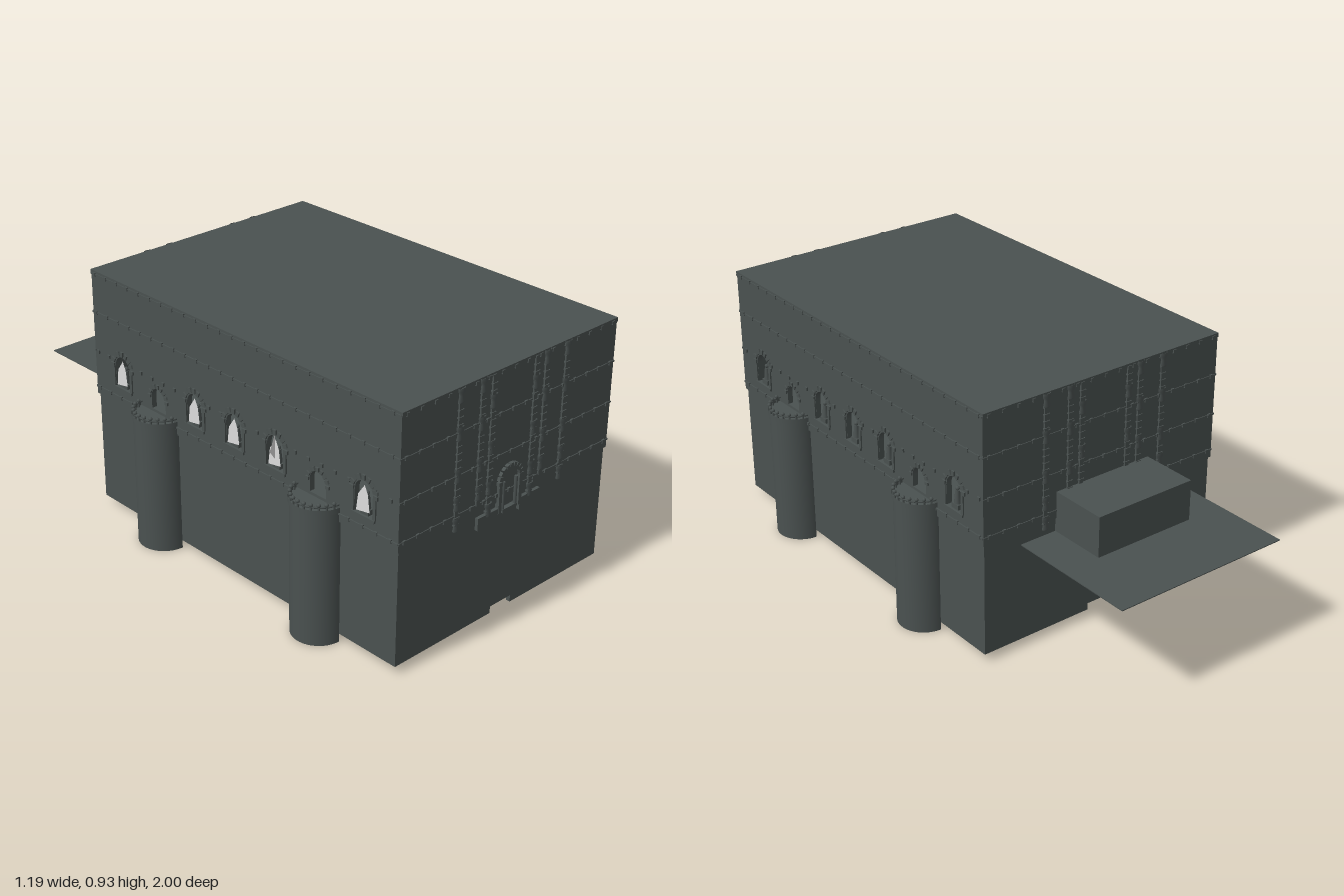
import * as THREE from 'three';

const stone = new THREE.MeshStandardMaterial({ color: 0x4a5150, side: THREE.DoubleSide });
stone.name = 'dark stone';
const pale = new THREE.MeshStandardMaterial({ color: 0xdcdcdc, side: THREE.DoubleSide });
pale.name = 'pale glass';

const FRONT = 0.988, BACK = -0.505, MID = (FRONT + BACK) / 2, LEN = FRONT - BACK;
const WINDOWS = [0.84, 0.44, 0.24, 0.04, -0.35];
const TURRETS = [0.637, -0.155];

function add(parent, name, geo, x = 0, y = 0, z = 0, mat = stone) {
  const m = new THREE.Mesh(geo, mat);
  m.name = name;
  m.position.set(x, y, z);
  parent.add(m);
  return m;
}
const box = (w, h, d) => new THREE.BoxGeometry(w, h, d);

function polygon(points) {
  return new THREE.Shape(points.map(([x, y]) => new THREE.Vector2(x, y)));
}

// Round-headed opening: c is the centre, r the half width
function archPath(c, bottom, spring, r) {
  const p = new THREE.Path();
  p.moveTo(c - r, bottom);
  p.lineTo(c + r, bottom);
  p.lineTo(c + r, spring);
  p.absarc(c, spring, r, 0, Math.PI, false);
  p.closePath();
  return p;
}

const slab = (shape, depth) => new THREE.ExtrudeGeometry(shape, { depth, bevelEnabled: false, curveSegments: 10 });

// Wedge stones set around an arch in the local xy plane
function archStones(parent, name, cx, spring, r, size, count, depth) {
  for (let i = 0; i < count; i++) {
    const a = Math.PI * i / (count - 1);
    const m = add(parent, name, box(size, size * 0.75, depth), cx + r * Math.cos(a), spring + r * Math.sin(a), 0);
    m.rotation.z = a;
  }
}

// Pilaster with small blocks and flared capitals, on the local z = 0 plane
function pilaster(parent, x, bottom, levels) {
  const flare = new THREE.LatheGeometry([[0.010, -0.025], [0.015, -0.02], [0.010, 0], [0.016, 0.014], [0.016, 0.025]]
    .map(([r, y]) => new THREE.Vector2(r, y)), 8);
  flare.scale(1, 1, 0.5);
  add(parent, 'pilasterShaft', box(0.016, 0.92 - bottom, 0.006), x, (0.92 + bottom) / 2, 0);
  for (const y of levels) add(parent, 'pilasterCapital', flare, x, y, 0.002);
  for (let y = bottom + 0.02; y < 0.9; y += 0.025) add(parent, 'pilasterBlock', box(0.022, 0.005, 0.012), x, y, 0);
}

// Decorated end face, built facing +z
function facade(withPortal) {
  const g = new THREE.Group();
  g.name = withPortal ? 'frontFacade' : 'backFacade';
  for (const s of [-1, 1]) {
    pilaster(g, s * 0.25, 0.43, [0.9, 0.77, 0.625, 0.525, 0.45]);
    pilaster(g, s * 0.15, 0.48, [0.9, 0.77, 0.625, 0.525]);
    pilaster(g, s * 0.1, 0.42, [0.83, 0.67, 0.525, 0.445]);
    if (withPortal) {
      add(g, 'portalStep', box(0.1, 0.045, 0.012), s * 0.1, 0.41, 0);
      add(g, 'portalJamb', box(0.014, 0.11, 0.016), s * 0.048, 0.465, 0);
      add(g, 'portalColumn', new THREE.CylinderGeometry(0.006, 0.006, 0.1, 8), s * 0.03, 0.47, 0.002);
    }
  }
  if (withPortal) {
    archStones(g, 'portalArchStone', 0, 0.52, 0.05, 0.018, 11, 0.018);
    add(g, 'portalSill', box(0.07, 0.012, 0.016), 0, 0.415, 0);
  }
  return g;
}

// Long wall with arched windows, in z and y, facing sideways
function sideWall(s) {
  const g = new THREE.Group();
  g.name = s > 0 ? 'leftWall' : 'rightWall';
  const shape = polygon([[BACK, 0.45], [FRONT, 0.45], [FRONT, 0.925], [BACK, 0.925]]);
  for (const z of WINDOWS) shape.holes.push(archPath(z, 0.522, 0.6, 0.04));
  for (const z of TURRETS) shape.holes.push(archPath(z, 0.505, 0.552, 0.037));
  const upper = add(g, 'upperWall', slab(shape, 0.02), s > 0 ? 0.502 : -0.482);
  upper.rotation.y = -Math.PI / 2;
  add(g, 'lowerWall', box(0.015, 0.45, LEN - 0.01), s * 0.488, 0.255, MID);

  // Arch surrounds, sills and figures
  const trim = new THREE.Group();
  trim.name = 'windowTrim';
  trim.position.x = s * 0.503;
  trim.rotation.y = -Math.PI / 2;
  g.add(trim);
  for (const z of WINDOWS) {
    archStones(trim, 'windowArchStone', z, 0.602, 0.052, 0.018, 9, 0.01);
    for (const d of [-1, 1]) add(trim, 'windowJamb', box(0.012, 0.075, 0.008), z + d * 0.047, 0.56, 0);
    add(trim, 'windowSill', box(0.1, 0.01, 0.012), z, 0.517, 0);
    add(g, 'figureBase', box(0.025, 0.02, 0.035), s * 0.488, 0.53, z);
    add(g, 'figureBody', new THREE.CylinderGeometry(0.008, 0.013, 0.05, 8), s * 0.488, 0.562, z);
    add(g, 'figureHead', new THREE.SphereGeometry(0.008, 8, 6), s * 0.488, 0.594, z);
  }
  for (const z of TURRETS) archStones(trim, 'doorArchStone', z, 0.552, 0.046, 0.015, 9, 0.01);

  // Pale panes in the windows of one side
  if (s < 0) {
    const leaf = new THREE.ShapeGeometry(polygon([[-0.03, 0.53], [0.028, 0.54], [0.02, 0.6], [0.006, 0.63], [-0.022, 0.59]]));
    for (const z of WINDOWS) {
      const pane = add(g, 'windowPane', leaf, -0.506, 0, z, pale);
      pane.rotation.y = -Math.PI / 2;
    }
    const shard = add(g, 'tiltedPane', new THREE.ShapeGeometry(polygon([[0, 0.555], [0, 0.65], [-0.042, 0.602]])), -0.503, 0, 0.44, pale);
    shard.rotation.y = 0.4;
  }
  return g;
}

// Half-round balcony tower with a beaded rail, built facing +x
function turret() {
  const g = new THREE.Group();
  g.name = 'turret';
  add(g, 'turretShaft', new THREE.CylinderGeometry(0.096, 0.096, 0.49, 32, 1, true, 0, Math.PI), 0, 0.245, 0);
  const deck = add(g, 'turretDeck', new THREE.CircleGeometry(0.097, 32, -Math.PI / 2, Math.PI), 0, 0.495, 0);
  deck.rotation.x = -Math.PI / 2;
  add(g, 'turretLip', new THREE.CylinderGeometry(0.1, 0.1, 0.018, 32, 1, true, 0, Math.PI), 0, 0.494, 0);
  const rail = add(g, 'turretRail', new THREE.TorusGeometry(0.094, 0.004, 6, 32, Math.PI), 0, 0.512, 0);
  rail.rotation.set(Math.PI / 2, 0, -Math.PI / 2);
  for (let i = 0; i < 13; i++) {
    const a = -Math.PI / 2 + Math.PI * i / 12, x = 0.094 * Math.cos(a), z = 0.094 * Math.sin(a);
    add(g, 'railPost', new THREE.CylinderGeometry(0.004, 0.004, 0.022, 6), x, 0.504, z);
    add(g, 'railBead', new THREE.SphereGeometry(0.007, 8, 6), x, 0.519, z);
  }
  return g;
}

export function createModel() {
  const model = new THREE.Group();
  model.name = 'hall';

  // End walls: hollow base with a notch at the foot
  const end = polygon([[-0.495, 0.03], [-0.05, 0.03], [-0.05, 0.055], [0.05, 0.055], [0.05, 0.03], [0.495, 0.03], [0.495, 0.48], [-0.495, 0.48]]);
  add(model, 'frontBase', slab(end, 0.015), 0, 0, FRONT - 0.02);
  add(model, 'backBase', slab(end, 0.015), 0, 0, BACK + 0.005);
  add(model, 'frontUpperWall', box(1.0, 0.475, 0.02), 0, 0.6875, FRONT - 0.01);
  add(model, 'backUpperWall', box(1.0, 0.475, 0.02), 0, 0.6875, BACK + 0.01);
  add(model, 'innerFloor', box(0.97, 0.01, LEN - 0.03), 0, 0.45, MID);
  add(model, 'roof', box(1.006, 0.012, LEN + 0.006), 0, 0.921, MID);

  // String courses with a row of small blocks
  for (const y of [0.915, 0.77, 0.62, 0.48]) {
    for (const z of [FRONT, BACK]) {
      add(model, 'stringCourse', box(1.008, 0.006, 0.006), 0, y, z);
      for (let x = -0.48; x < 0.49; x += 0.06) add(model, 'courseBlock', box(0.012, 0.013, 0.012), x, y, z);
    }
    for (const s of [-1, 1]) {
      // The course at window height breaks at each opening
      if (y !== 0.62) add(model, 'stringCourse', box(0.006, 0.006, LEN), s * 0.503, y, MID);
      for (let z = BACK + 0.02; z < FRONT; z += 0.06) {
        const clear = y !== 0.62 || WINDOWS.every(w => Math.abs(w - z) > 0.055);
        if (clear) add(model, 'courseBlock', box(0.012, 0.013, 0.012), s * 0.502, y, z);
      }
    }
  }

  for (const s of [-1, 1]) {
    model.add(sideWall(s));
    for (const z of TURRETS) {
      const t = turret();
      t.position.set(s * 0.495, 0, z);
      if (s < 0) t.rotation.y = Math.PI;
      model.add(t);
    }
  }

  const front = facade(true);
  front.position.z = FRONT + 0.003;
  const back = facade(false);
  back.position.z = BACK - 0.003;
  back.rotation.y = Math.PI;
  model.add(front, back);

  // Rear annex on a thin terrace
  add(model, 'annex', box(0.4, 0.15, 0.22), 0, 0.475, -0.61);
  add(model, 'terrace', box(0.69, 0.003, 0.5), 0, 0.398, -0.75);
  for (const s of [-1, 1]) add(model, 'annexFootSide', box(0.006, 0.004, 0.18), s * 0.17, 0.396, -0.61);
  for (const z of [-0.7, -0.52]) add(model, 'annexFootEnd', box(0.34, 0.004, 0.006), 0, 0.396, z);
  return model;
}
